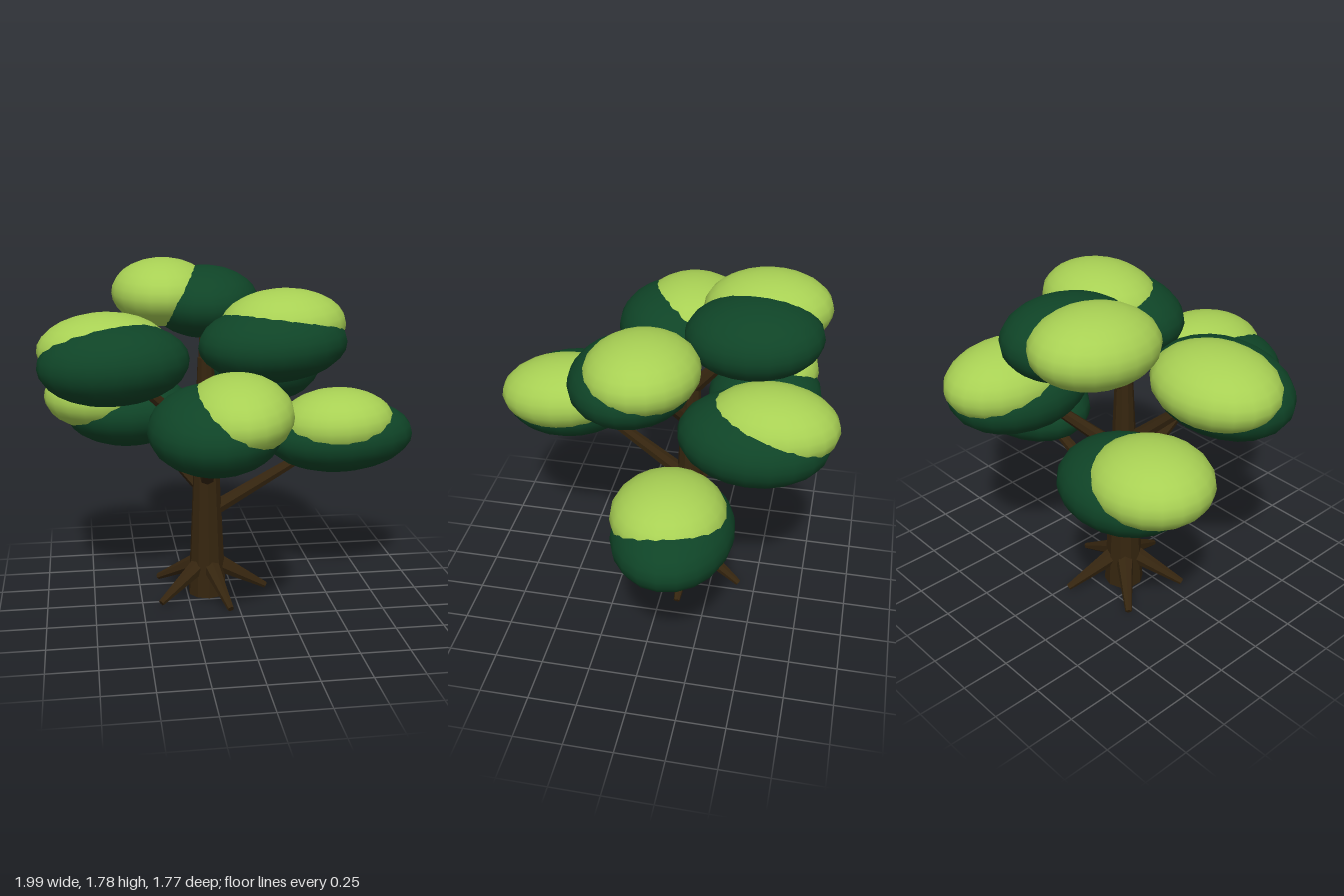
import * as THREE from 'three';

export function createModel() {
  const tree = new THREE.Group();
  tree.name = 'tree';
  const bark = new THREE.MeshStandardMaterial({ color: 0x35250f, flatShading: true });
  bark.name = 'bark';
  const darkLeaf = new THREE.MeshStandardMaterial({ color: 0x0f4427 });
  darkLeaf.name = 'dark leaf';
  const lightLeaf = new THREE.MeshStandardMaterial({ color: 0xa8d054 });
  lightLeaf.name = 'light leaf';

  // Tapered round piece of wood between two points
  const limb = (name, from, to, r0, r1, sides) => {
    const a = new THREE.Vector3(...from), b = new THREE.Vector3(...to);
    const dir = b.clone().sub(a);
    const mesh = new THREE.Mesh(new THREE.CylinderGeometry(r1, r0, dir.length(), sides), bark);
    mesh.name = name;
    mesh.position.copy(a).add(b).multiplyScalar(0.5);
    mesh.quaternion.setFromUnitVectors(new THREE.Vector3(0, 1, 0), dir.normalize());
    tree.add(mesh);
  };

  // Trunk
  const tx = -0.14, tz = -0.11;
  limb('trunk', [tx, 0, tz], [tx, 1.3, tz], 0.103, 0.042, 10);

  // Five roots spread evenly around the trunk
  for (let i = 0; i < 5; i++) {
    const t = (2 + 72 * i) * Math.PI / 180;
    const c = Math.cos(t), s = Math.sin(t);
    limb('root', [tx + 0.04 * c, 0.175, tz + 0.04 * s],
      [tx + 0.32 * c, 0.022, tz + 0.32 * s], 0.05, 0.017, 7);
  }

  // Leaf clusters: a dark ellipsoid with a lighter one set into its sunny side
  const ball = new THREE.SphereGeometry(1, 20, 14);
  const leaf = (name, material, centre, radii, tilt) => {
    const mesh = new THREE.Mesh(ball, material);
    mesh.name = name;
    mesh.position.set(...centre);
    mesh.scale.set(...radii);
    mesh.rotation.set(...tilt);
    return mesh;
  };
  const clusters = [
    { name: 'top', y: 1.2, tilt: [0.04, 0, 0],
      dark: [[-0.11, 1.55, -0.42], [0.295, 0.19, 0.345]],
      light: [[-0.33, 1.6, -0.46], [0.275, 0.18, 0.325]] },
    { name: 'upperFront', y: 1.0, tilt: [0.04, 0, 0.05],
      dark: [[0.17, 1.41, 0.13], [0.375, 0.19, 0.31]],
      light: [[0.23, 1.49, 0.07], [0.32, 0.18, 0.285]] },
    { name: 'upperRight', y: 0.85, tilt: [0, 0, 0.05],
      dark: [[-0.62, 1.313, 0.07], [0.38, 0.207, 0.297]],
      light: [[-0.67, 1.38, -0.025], [0.33, 0.175, 0.285]] },
    { name: 'lowerFront', y: 0.63, tilt: [0.1, 0, 0.04],
      dark: [[-0.17, 1.082, 0.528], [0.32, 0.2, 0.357]],
      light: [[-0.065, 1.155, 0.547], [0.26, 0.178, 0.328]] },
    { name: 'lowerLeft', y: 0.45, tilt: [0, 0, 0.04],
      dark: [[0.59, 0.85, -0.155], [0.4, 0.193, 0.295]],
      light: [[0.57, 0.927, -0.13], [0.31, 0.18, 0.28]] },
    { name: 'backLeft', y: 0.8, tilt: [-0.03, 0, 0],
      dark: [[0.225, 1.188, -0.48], [0.31, 0.203, 0.375]],
      light: [[0.21, 1.262, -0.56], [0.26, 0.18, 0.328]] },
    { name: 'backRight', y: 0.57, tilt: [0, 0, 0],
      dark: [[-0.53, 0.963, -0.45], [0.35, 0.198, 0.31]],
      light: [[-0.68, 1.045, -0.44], [0.305, 0.18, 0.285]] },
  ];
  for (const { name, y, tilt, dark, light } of clusters) {
    const group = new THREE.Group();
    group.name = name + 'Foliage';
    group.add(leaf('darkLeaves', darkLeaf, ...dark, tilt), leaf('lightLeaves', lightLeaf, ...light, tilt));
    tree.add(group);
    // Branch reaching from the trunk into the cluster
    limb(name + 'Branch', [tx, y, tz], dark[0], 0.042, 0.02, 7);
  }
  return tree;
}
